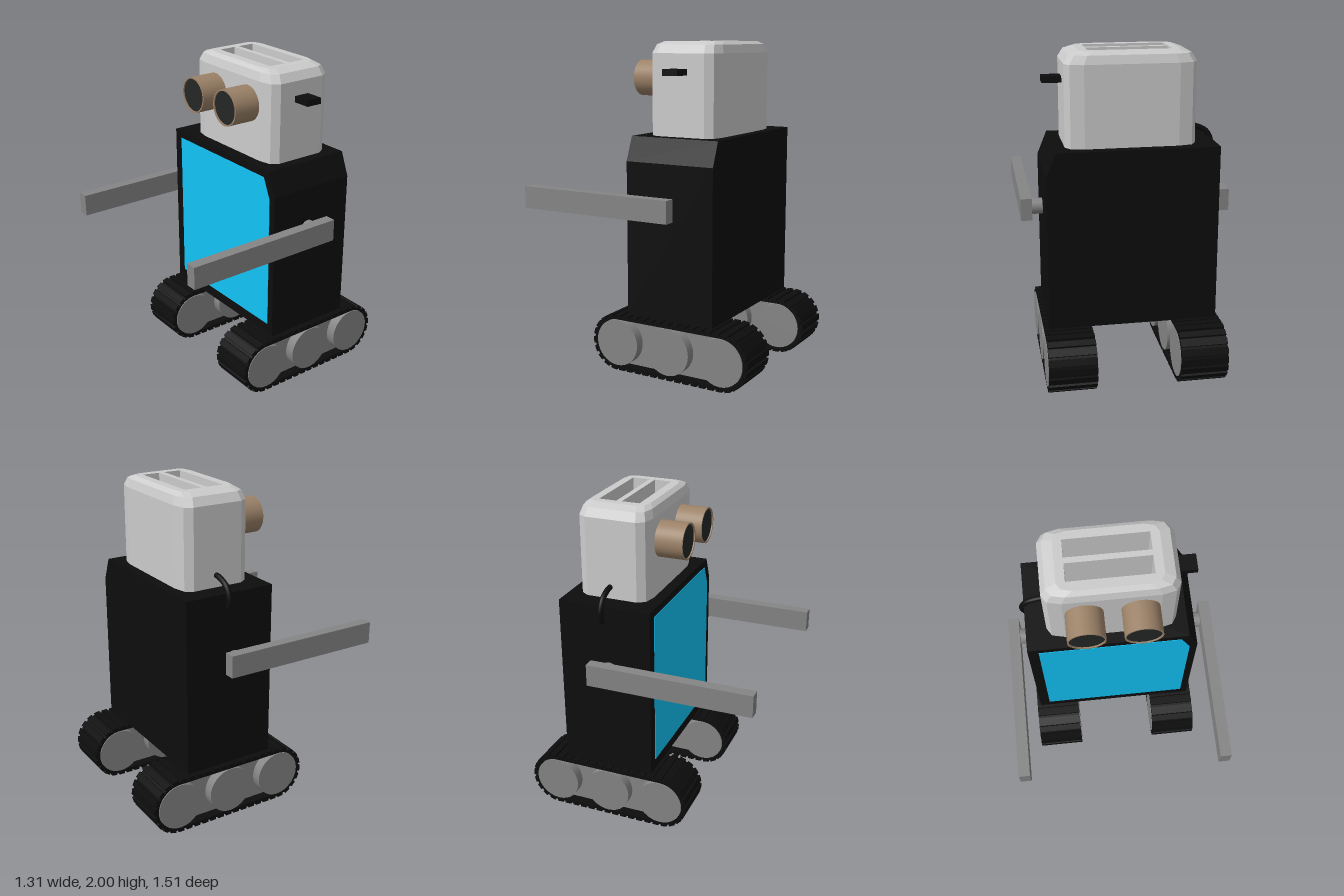
import * as THREE from 'three';

const mat = (color, extra = {}) => new THREE.MeshStandardMaterial({ color, ...extra });
const black = mat(0x0d0d0d);
const grey = mat(0x858585);
const steel = mat(0xcccccc, { flatShading: true });
const brown = mat(0x9c8268);
const blue = mat(0x12c4f8);

function add(parent, name, geometry, material, x = 0, y = 0, z = 0) {
  const mesh = new THREE.Mesh(geometry, material);
  mesh.name = name;
  mesh.position.set(x, y, z);
  parent.add(mesh);
  return mesh;
}

// Box given by its limits on each axis
function addBox(parent, name, material, [x0, x1], [y0, y1], [z0, z1]) {
  return add(parent, name, new THREE.BoxGeometry(x1 - x0, y1 - y0, z1 - z0), material,
    (x0 + x1) / 2, (y0 + y1) / 2, (z0 + z1) / 2);
}

const polygon = pts => new THREE.Shape(pts.map(p => new THREE.Vector2(...p)));
const extrude = (shape, depth) =>
  new THREE.ExtrudeGeometry(shape, { depth, bevelEnabled: false, curveSegments: 20 });

// Crawler track, running along z and centred on its own origin
const HALF = 0.355, WIDTH = 0.287;
function stadium(r, Type = THREE.Shape) {
  const s = new Type();
  s.moveTo(-HALF, -r);
  s.lineTo(HALF, -r);
  s.absarc(HALF, 0, r, -Math.PI / 2, Math.PI / 2, false);
  s.lineTo(-HALF, r);
  s.absarc(-HALF, 0, r, Math.PI / 2, Math.PI * 1.5, false);
  return s;
}

function createTrack() {
  const track = new THREE.Group();
  track.name = 'track';
  const alongX = (shape, width) => extrude(shape, width).translate(0, 0, -width / 2).rotateY(Math.PI / 2);

  const beltShape = stadium(0.163);
  beltShape.holes.push(stadium(0.147, THREE.Path));
  add(track, 'belt', alongX(beltShape, WIDTH), black);
  add(track, 'innerPlate', alongX(stadium(0.147), WIDTH - 0.12), grey);

  const wheel = new THREE.CylinderGeometry(0.145, 0.145, WIDTH + 0.006, 32).rotateZ(Math.PI / 2);
  for (const z of [-HALF, 0, HALF]) add(track, 'wheel', wheel, grey, 0, 0, z);

  // Tread bars spaced evenly round the belt
  const r = 0.168, L = 2 * HALF, arc = Math.PI * r, count = 44;
  const bar = new THREE.BoxGeometry(WIDTH, 0.018, 0.039);
  for (let i = 0; i < count; i++) {
    const s = (i + 0.5) / count * 2 * (L + arc);
    const side = s < L + arc ? 1 : -1;
    const t = s % (L + arc);
    const a = Math.max(0, t - L) / r;
    const z = side * (Math.min(t, L) - HALF + r * Math.sin(a));
    const y = side * r * Math.cos(a);
    add(track, 'tread', bar, black, 0, y, z).rotation.x = a + (side < 0 ? Math.PI : 0);
  }
  return track;
}

// Head shell: rounded-rectangle sections that shrink towards the top
const HX = 0.388, HZ = 0.224;
function headSection(ix, iz) {
  const corner = [[0, 0.065], [0.03, 0.018], [0.11, 0]];
  const pts = [];
  for (const [sx, sz, flip] of [[1, 1, 0], [-1, 1, 1], [-1, -1, 0], [1, -1, 1]]) {
    for (const [cx, cz] of flip ? [...corner].reverse() : corner) {
      pts.push([sx * (HX - cx) * (1 - ix / HX), sz * (HZ - cz) * (1 - iz / HZ)]);
    }
  }
  return pts;
}

function createHead() {
  const head = new THREE.Group();
  head.name = 'head';
  head.position.set(-0.008, 0, -0.22);

  const levels = [[1.44, 0, 0], [1.93, 0, 0], [1.98, 0.03, 0.015], [2.0, 0.09, 0.042]];
  const pos = [], index = [], n = 12;
  for (const [y, ix, iz] of levels) for (const [x, z] of headSection(ix, iz)) pos.push(x, y, z);
  for (let l = 0; l < levels.length - 1; l++) {
    for (let i = 0; i < n; i++) {
      const a = l * n + i, b = l * n + (i + 1) % n;
      index.push(a, a + n, b, b, a + n, b + n);
    }
  }
  const shell = new THREE.BufferGeometry();
  shell.setAttribute('position', new THREE.Float32BufferAttribute(pos, 3));
  shell.setIndex(index);
  shell.computeVertexNormals();
  add(head, 'headShell', shell, steel);

  // Top plate with two slots, each lined by an open box turned inside out
  const top = polygon(headSection(0.09, 0.042).map(([x, z]) => [x, -z]));
  const w = 0.246, d = 0.055, depth = 0.25;
  for (const z of [-0.075, 0.07]) {
    top.holes.push(new THREE.Path([[-w, -z - d], [w, -z - d], [w, -z + d], [-w, -z + d]]
      .map(p => new THREE.Vector2(...p))));
    const lining = new THREE.BoxGeometry(2 * w, depth, 2 * d).scale(-1, 1, 1);
    const faces = Array.from(lining.index.array);
    faces.splice(12, 6);
    lining.setIndex(faces);
    lining.clearGroups();
    lining.computeVertexNormals();
    add(head, 'slotLining', lining, steel, 0, 2 - depth / 2, z);
  }
  add(head, 'headTop', new THREE.ShapeGeometry(top).rotateX(-Math.PI / 2), steel, 0, 2, 0);
  return head;
}

export function createModel() {
  const model = new THREE.Group();
  model.name = 'robot';
  model.rotation.y = 0.018;

  // Body with one cut corner, and its front panel
  const body = polygon([[-0.521, 0.36], [0.504, 0.36], [0.504, 1.3], [0.445, 1.445], [-0.521, 1.445]]);
  add(model, 'body', extrude(body, 0.579), black, 0, 0, -0.506);
  const panel = polygon([[-0.456, 0.43], [0.459, 0.43], [0.459, 1.27], [0.402, 1.4], [-0.456, 1.4]]);
  add(model, 'frontPanel', extrude(panel, 0.01), blue, 0, 0, 0.066);

  // Head with tubular eyes, side lever and cable
  model.add(createHead());
  const tube = new THREE.LatheGeometry(
    [[0.11, -0.02], [0.11, 0.176], [0.11, 0.176], [0.101, 0.176], [0.101, 0.176], [0.101, 0.155]]
      .map(p => new THREE.Vector2(...p)), 40).rotateX(Math.PI / 2);
  const lens = new THREE.CircleGeometry(0.102, 40);
  for (const x of [-0.167, 0.153]) {
    add(model, 'eyeTube', tube, brown, x, 1.777, 0);
    add(model, 'eyeLens', lens, mat(0x242626), x, 1.777, 0.168);
  }
  addBox(model, 'lever', black, [0.365, 0.494], [1.805, 1.842], [-0.268, -0.167]);
  const cable = new THREE.CatmullRomCurve3([[-0.37, 1.52], [-0.43, 1.513], [-0.5, 1.48],
    [-0.533, 1.42], [-0.53, 1.37], [-0.505, 1.335]].map(([x, y]) => new THREE.Vector3(x, y, -0.23)));
  add(model, 'cable', new THREE.TubeGeometry(cable, 30, 0.017, 12), black);

  // Arms on pivots, and tracks
  const pivot = new THREE.CylinderGeometry(0.049, 0.049, 0.1, 24).rotateZ(Math.PI / 2);
  for (const side of [-1, 1]) {
    const x = side * 0.61 - 0.004;
    addBox(model, 'arm', grey, [x - 0.034, x + 0.034], [0.978, 1.114], [-0.282, 0.74]);
    add(model, 'armPivot', pivot, grey, side * 0.54 - 0.004, 1.04, -0.19);
    const track = createTrack();
    track.position.set(side * 0.396 - 0.006, 0.177, -0.22);
    model.add(track);
  }

  const root = new THREE.Group();
  root.add(model);
  return root;
}
